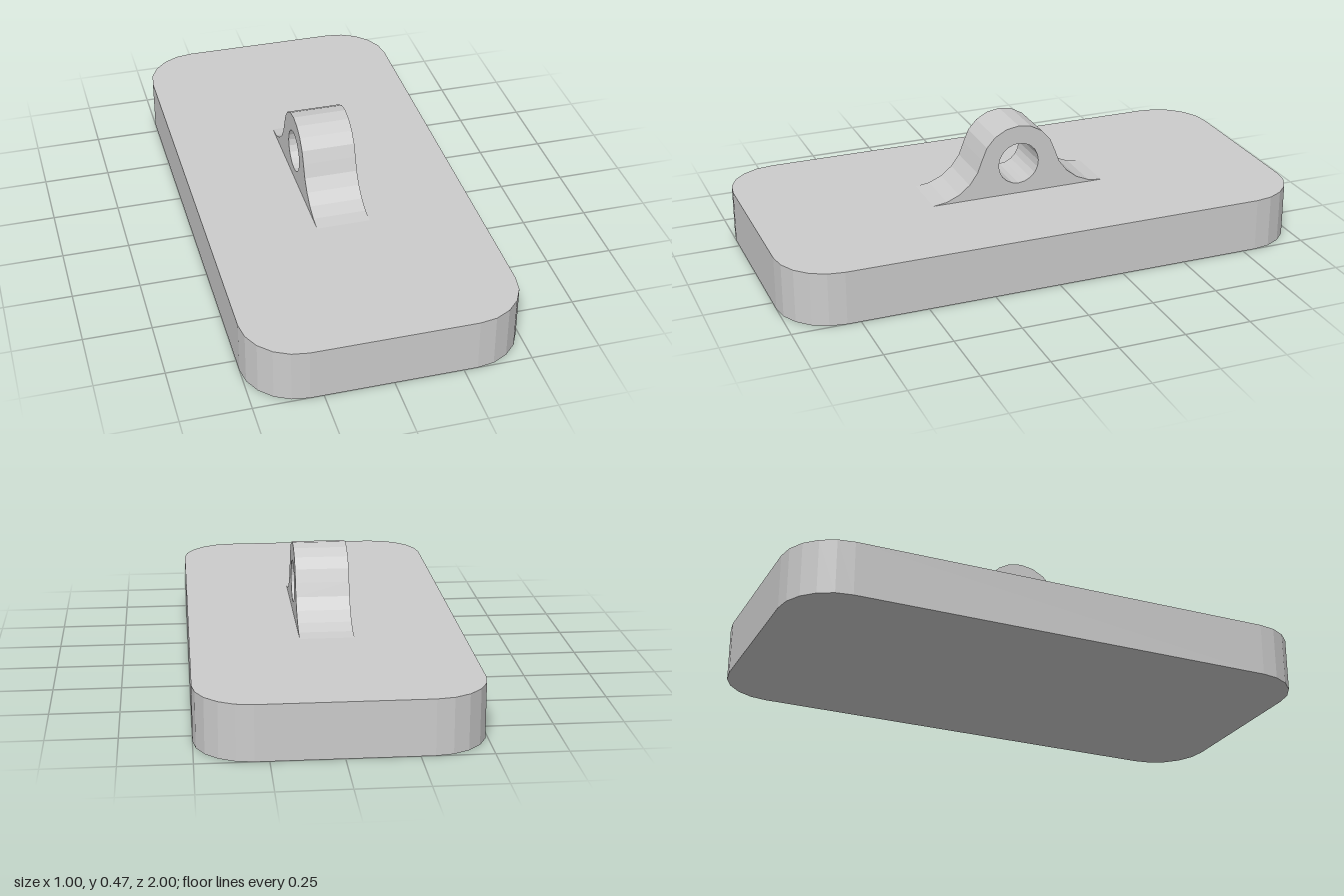
import * as THREE from 'three';

const material = new THREE.MeshStandardMaterial({ color: 0xcccccc, flatShading: true });

// Points along a circular arc, angles in radians, both ends included.
function arc(cx, cy, r, from, to, segments) {
  return Array.from({ length: segments + 1 }, (_, i) => {
    const a = from + (to - from) * i / segments;
    return new THREE.Vector2(cx + r * Math.cos(a), cy + r * Math.sin(a));
  });
}

function extrude(name, shape, depth) {
  const geometry = new THREE.ExtrudeGeometry(shape, { depth, bevelEnabled: false });
  const mesh = new THREE.Mesh(geometry, material);
  mesh.name = name;
  return mesh;
}

// Flat slab with four rounded vertical corners
function createBasePlate() {
  const r = 0.2, x = 0.5 - r, z = 1 - r;
  const corners = [[x, z], [-x, z], [-x, -z], [x, -z]];
  const outline = corners.flatMap(([cx, cy], i) =>
    arc(cx, cy, r, i * Math.PI / 2, (i + 1) * Math.PI / 2, 5));
  const plate = extrude('basePlate', new THREE.Shape(outline), 0.2);
  plate.geometry.rotateX(-Math.PI / 2);
  return plate;
}

// Upright eyelet that flares into the plate through tangent fillets
function createLug() {
  const plateTop = 0.2, eyeY = 0.32, eyeR = 0.15, holeR = 0.08, filletR = 0.2, width = 0.2;
  const filletY = plateTop + filletR;
  const tilt = Math.asin((filletY - eyeY) / (eyeR + filletR));
  const filletZ = (eyeR + filletR) * Math.cos(tilt);

  const rightFillet = arc(filletZ, filletY, filletR, Math.PI * 1.5, Math.PI + tilt, 5);
  const crown = arc(0, eyeY, eyeR, tilt, Math.PI - tilt, 8);
  const leftFillet = arc(-filletZ, filletY, filletR, -tilt, -Math.PI / 2, 5);
  const shape = new THREE.Shape([...rightFillet, ...crown.slice(1, -1), ...leftFillet]);
  shape.holes.push(new THREE.Path(arc(0, eyeY, holeR, 0, -Math.PI * 2, 20).slice(0, -1)));

  const lug = extrude('eyeletLug', shape, width);
  lug.geometry.rotateY(-Math.PI / 2).translate(width / 2, 0, 0);
  return lug;
}

export function createModel() {
  const model = new THREE.Group();
  model.name = 'mountingPlateWithEyelet';
  model.add(createBasePlate(), createLug());
  return model;
}
